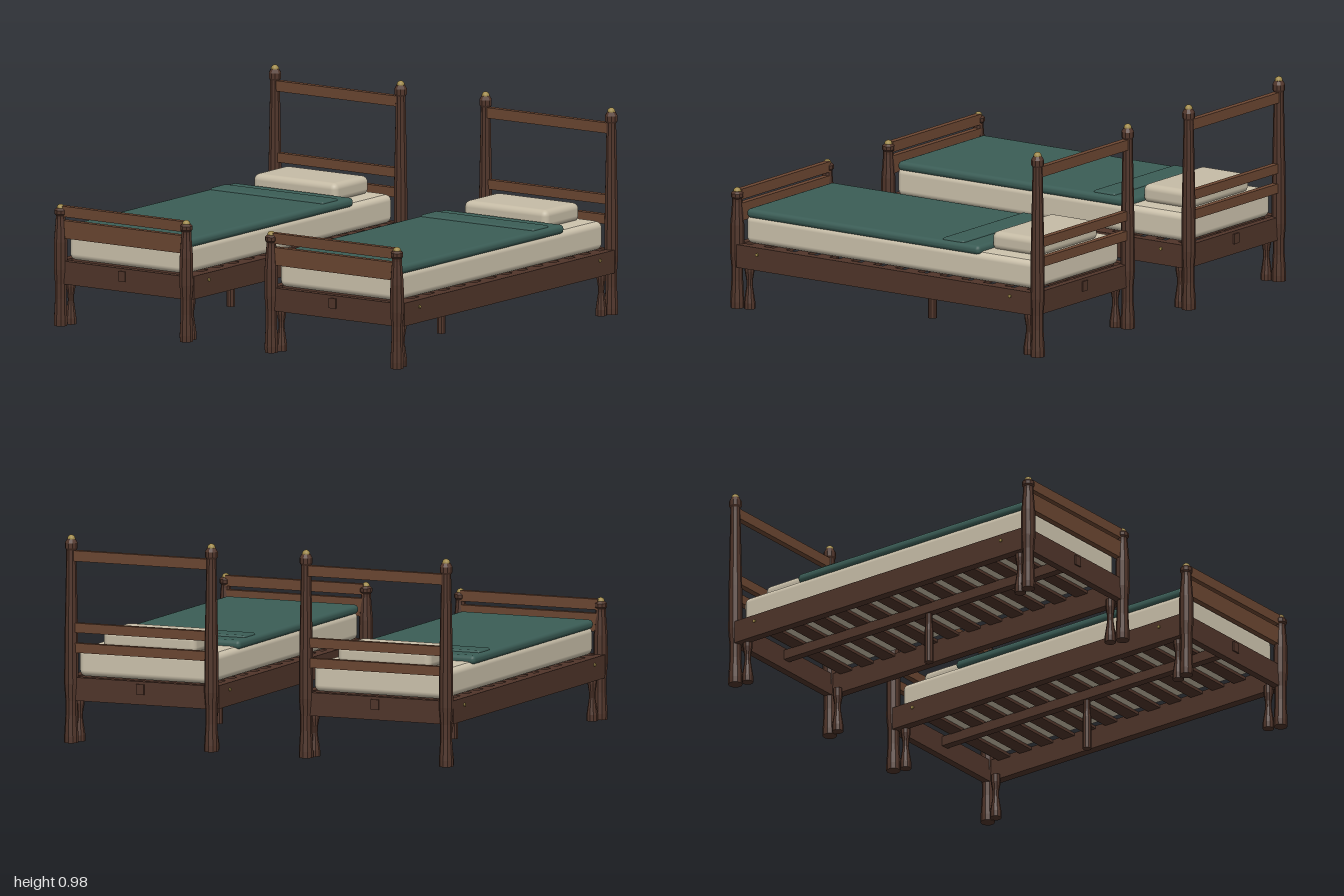
import * as THREE from 'three';
import { RoundedBoxGeometry } from 'three/addons/geometries/RoundedBoxGeometry.js';

const mat = (color, flatShading = false) => new THREE.MeshStandardMaterial({ color, flatShading });

const darkWood = mat(0x50352a, true);
const wood = mat(0x6b4631, true);
const brass = mat(0xa08a4a);
const linen = mat(0xcdc3ad);
const pillowCloth = mat(0xc6bca6);
const wool = mat(0x3b5d56);

const POST_X = 0.361, POST_Z = 0.867;

function add(parent, name, geometry, material, x, y, z) {
  const mesh = new THREE.Mesh(geometry, material);
  mesh.name = name;
  mesh.position.set(x, y, z);
  parent.add(mesh);
  return mesh;
}

const box = (w, h, d) => new THREE.BoxGeometry(w, h, d);

// Turned wooden part from [radius, height] pairs
const turned = (points, sides = 10) =>
  new THREE.LatheGeometry(points.map(([r, y]) => new THREE.Vector2(r, y)), sides);

const footPost = turned([
  [0, 0], [0.032, 0], [0.033, 0.03], [0.028, 0.13], [0.028, 0.2], [0.034, 0.27],
  [0.033, 0.4], [0.024, 0.51], [0.024, 0.525], [0.03, 0.533], [0.03, 0.55], [0.02, 0.56], [0, 0.56],
]);
const headPost = turned([
  [0, 0], [0.034, 0], [0.034, 0.03], [0.028, 0.13], [0.028, 0.2], [0.034, 0.28],
  [0.032, 0.5], [0.024, 0.89], [0.024, 0.91], [0.03, 0.92], [0.03, 0.945], [0.02, 0.963], [0, 0.963],
]);
const cornerLeg = turned([
  [0, 0], [0.027, 0], [0.027, 0.03], [0.015, 0.11], [0.016, 0.14], [0.023, 0.18], [0.023, 0.22], [0, 0.22],
]);
const centreLeg = turned([[0, 0], [0.021, 0], [0.021, 0.16], [0.016, 0.2], [0.016, 0.26], [0, 0.26]]);

function createBed() {
  const bed = new THREE.Group();
  bed.name = 'bed';

  // Posts, finials, legs, side rails and bolts
  for (const side of [-1, 1]) {
    for (const end of [-1, 1]) {
      const isFoot = end === 1;
      add(bed, isFoot ? 'footPost' : 'headPost', isFoot ? footPost : headPost, darkWood,
        side * POST_X, 0, end * POST_Z);
      add(bed, 'finial', new THREE.SphereGeometry(0.019, 12, 8), brass,
        side * POST_X, isFoot ? 0.559 : 0.964, end * POST_Z);
      add(bed, 'cornerLeg', cornerLeg, darkWood, side * 0.345, 0, end * 0.807);
      const bolt = add(bed, 'railBolt', new THREE.CylinderGeometry(0.008, 0.008, 0.012, 8), brass,
        side * 0.392, 0.277, end * 0.73);
      bolt.rotation.z = Math.PI / 2;
    }
    add(bed, 'sideRail', box(0.043, 0.11, 1.7), darkWood, side * 0.37, 0.255, 0);
  }

  // End rails
  for (const end of [-1, 1])
    add(bed, 'endRail', box(0.7, 0.11, 0.035), darkWood, 0, 0.255, end * 0.86);

  // Footboard and headboard bars
  const bars = [
    ['footTopBar', 0.545, 0.05, POST_Z - 0.007],
    ['footLowerBar', 0.46, 0.085, POST_Z - 0.007],
    ['headTopBar', 0.885, 0.05, -POST_Z],
    ['headMiddleBar', 0.545, 0.045, -POST_Z],
    ['headLowerBar', 0.45, 0.045, -POST_Z],
  ];
  for (const [name, y, h, z] of bars)
    add(bed, name, box(0.71, h, 0.03), wood, 0, y, z);

  // Centre beam with its leg, and the slats
  add(bed, 'centreBeam', box(0.04, 0.048, 1.77), darkWood, 0, 0.273, 0);
  add(bed, 'centreLeg', centreLeg, darkWood, 0, 0, 0);
  const slats = 13;
  for (let i = 0; i < slats; i++)
    add(bed, 'slat', box(0.7, 0.015, 0.07), darkWood, 0, 0.302, -0.76 + (1.52 * i) / (slats - 1));

  // Bedding
  add(bed, 'mattress', new RoundedBoxGeometry(0.68, 0.135, 1.675, 3, 0.03), linen, 0, 0.377, 0);
  add(bed, 'mattressTop', new RoundedBoxGeometry(0.63, 0.02, 1.62, 2, 0.008), linen, 0, 0.438, 0);
  add(bed, 'blanket', new RoundedBoxGeometry(0.69, 0.044, 1.345, 2, 0.02), wool, 0, 0.455, 0.157);
  add(bed, 'blanketFold', new RoundedBoxGeometry(0.65, 0.024, 0.125, 2, 0.011), wool, 0, 0.475, -0.352);
  add(bed, 'pillow', new RoundedBoxGeometry(0.48, 0.09, 0.28, 3, 0.03), pillowCloth, 0, 0.485, -0.65);
  return bed;
}

export function createModel() {
  const model = new THREE.Group();
  model.name = 'twinBeds';
  for (const side of [-1, 1]) {
    const bed = createBed();
    bed.name = side > 0 ? 'leftBed' : 'rightBed';
    bed.position.x = side * 0.605;
    model.add(bed);
  }
  return model;
}
